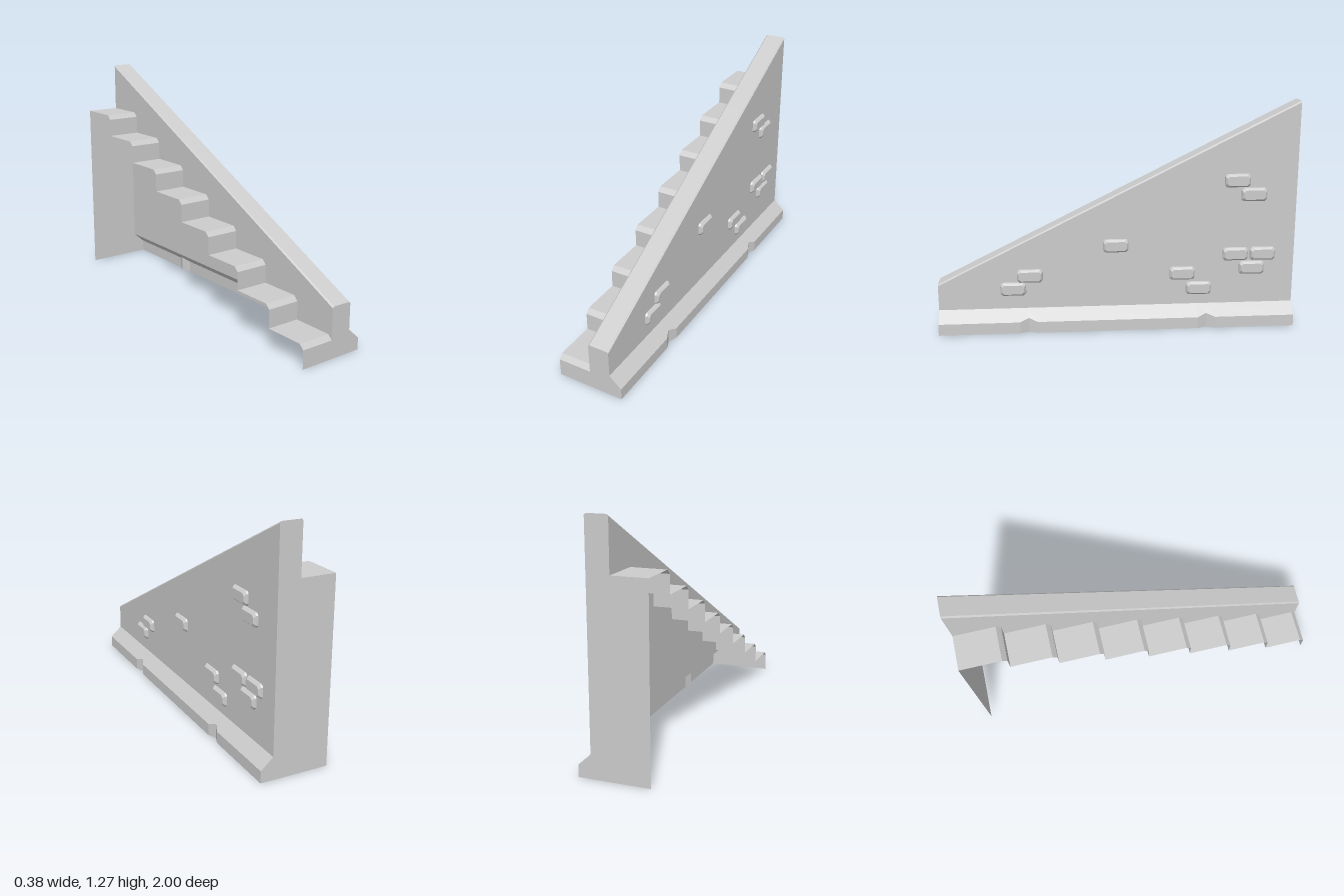
import * as THREE from 'three';

const material = new THREE.MeshStandardMaterial({ color: 0xcccccc, flatShading: true, side: THREE.DoubleSide });

const STEPS = 8, RUN = 0.25, RISE = 0.125, NOSE = 0.025;
const LEFT = -0.19, WALL = 0.12, FOOT = 0.187, EDGE = 0.008;
const wallTop = z => 0.775 - 0.5 * z;

// Skin stretched over rows of equally many points
function sheet(rows) {
  const out = [];
  for (let i = 0; i + 1 < rows.length; i++) {
    for (let j = 0; j + 1 < rows[i].length; j++) {
      const a = rows[i][j], b = rows[i][j + 1], c = rows[i + 1][j + 1], d = rows[i + 1][j];
      out.push(...a, ...b, ...c);
      if (c.some((v, k) => v !== d[k])) out.push(...a, ...c, ...d);
    }
  }
  const geometry = new THREE.BufferGeometry();
  geometry.setAttribute('position', new THREE.Float32BufferAttribute(out, 3));
  geometry.computeVertexNormals();
  return geometry;
}

const flat = points => new THREE.ShapeGeometry(new THREE.Shape(points.map(p => new THREE.Vector2(...p))));

// Wall cross-section from the foot, up the outside and over the coping
function section(z, foot = FOOT) {
  const top = wallTop(z);
  return [
    [foot, 0], [foot, 0.065 + (FOOT - foot) * 0.85], [WALL, 0.125], [WALL, top - EDGE],
    [WALL - EDGE, top], [EDGE, top], [0, top - EDGE],
  ];
}

// Octagonal brick face, inset from its outer size
function brickRing(x, inset) {
  const w = 0.072 - inset, h = 0.038 - inset, c = 0.012;
  const ring = [
    [-w + c, h], [w - c, h], [w, h - c], [w, -h + c],
    [w - c, -h], [-w + c, -h], [-w, -h + c], [-w, h - c], [-w + c, h],
  ];
  return ring.map(([z, y]) => [x, y, z]);
}

export function createModel() {
  const model = new THREE.Group();
  const add = (name, geometry, parent = model) => {
    const mesh = new THREE.Mesh(geometry, material);
    mesh.name = name;
    parent.add(mesh);
    return mesh;
  };

  // Outer wall, coping and plinth with two V notches
  const stations = [-1, -0.55, -0.5, -0.45, 0.45, 0.5, 0.55, 1];
  add('wallAndPlinth', sheet(stations.map(z =>
    section(z, Math.abs(z) === 0.5 ? 0.167 : FOOT).map(([x, y]) => [x, y, z]))));

  // Stair profile in z and y, with chamfered nosings
  const profile = [];
  for (let i = 0; i < STEPS; i++) {
    const z = 1 - RUN * i, y = RISE * i;
    if (i) profile.push([z, y]);
    profile.push([z, y + RISE - NOSE], [z - NOSE, y + RISE]);
  }
  profile.push([-1, STEPS * RISE]);
  add('stairs', sheet([0, LEFT].map(x => profile.map(([z, y]) => [x, y, z]))));

  // Inner face of the wall above the stairs
  add('innerWall', flat([...profile, [-1, wallTop(-1) - EDGE], [1, wallTop(1) - EDGE]])
    .rotateY(-Math.PI / 2));

  // End plates; the side under the stairs and the base stay open
  const endOutline = (z, step) => [...section(z), [0, step], [LEFT, step], [LEFT, 0]];
  add('frontEnd', flat(endOutline(1, RISE - NOSE)).translate(0, 0, 1));
  add('backEnd', flat(endOutline(-1, STEPS * RISE).map(([x, y]) => [-x, y]))
    .rotateY(Math.PI).translate(0, 0, -1));

  // Raised bricks scattered on the outer wall, as z and y centres
  const bricks = new THREE.Group();
  bricks.name = 'bricks';
  model.add(bricks);
  const brick = sheet([
    brickRing(0, 0), brickRing(0.01, 0.002), brickRing(0.022, 0.012),
    Array.from({ length: 9 }, () => [0.022, 0, 0]),
  ]);
  const spots = [
    [0.49, 0.315], [0.585, 0.24], [0.01, 0.48], [-0.365, 0.31], [-0.46, 0.22],
    [-0.665, 0.84], [-0.76, 0.76], [-0.665, 0.417], [-0.82, 0.417], [-0.76, 0.335],
  ];
  for (const [z, y] of spots) add('brick', brick, bricks).position.set(WALL, y, z);

  return model;
}
